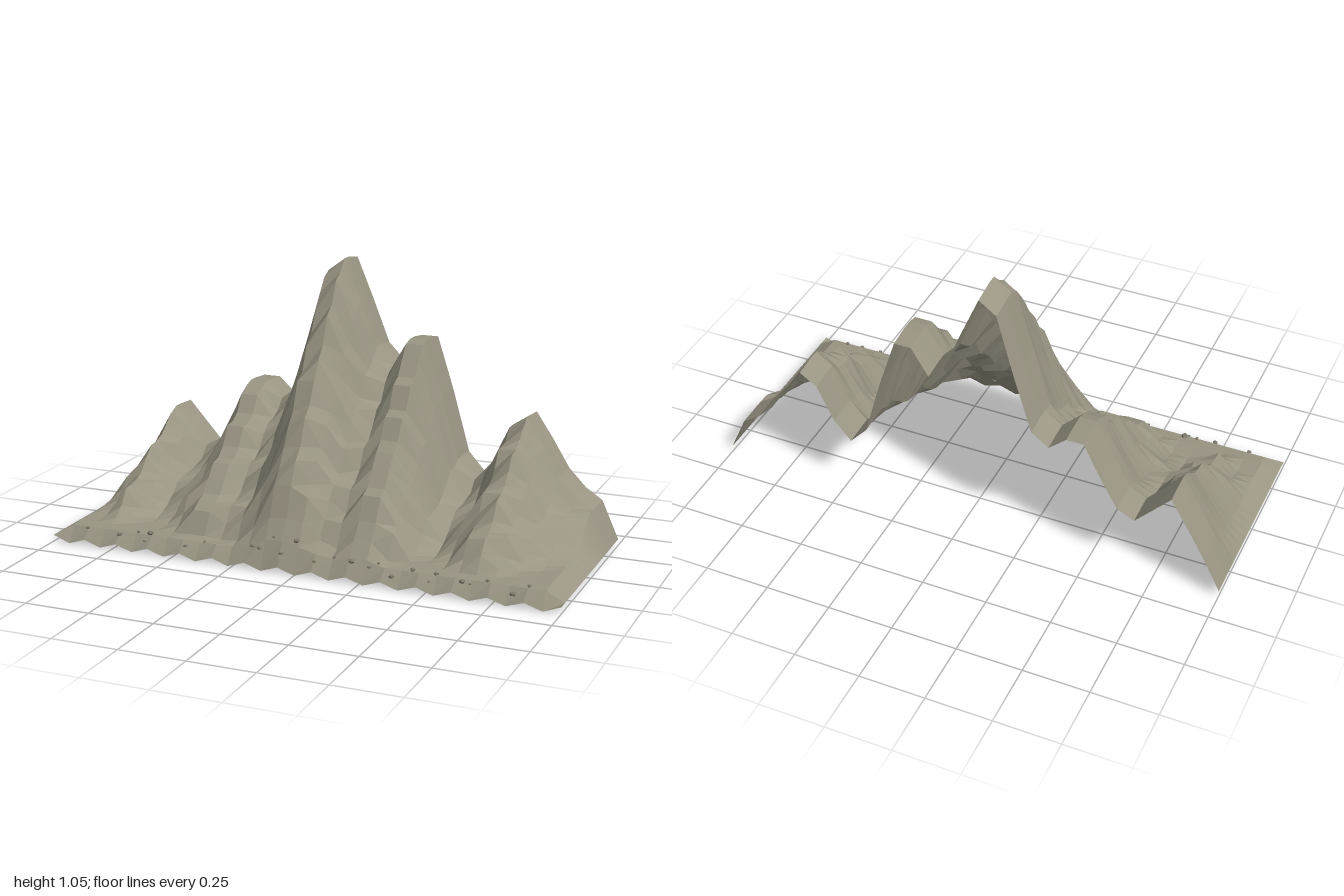
import * as THREE from 'three';

const W = 2, D = 0.776, NX = 30, NZ = 18, STEP = 0.115, BASE = 0.06;

// skyline height of each column along x
const RIDGE = [0.025, 0.16, 0.28, 0.395, 0.32, 0.245, 0.28, 0.40, 0.535, 0.535, 0.475,
  0.525, 0.75, 1.0, 1.05, 0.89, 0.72, 0.65, 0.76, 0.76, 0.55,
  0.31, 0.235, 0.31, 0.455, 0.50, 0.40, 0.29, 0.22, 0.175, 0.025];

// rock ledges: flat treads with steep risers
function terrace(h) {
  const t = Math.max(0, (h - BASE) / STEP), k = Math.floor(t);
  return BASE + STEP * (k + Math.pow(t - k, 3));
}

// height of the grid corner in column i, row j (row 0 is the back)
function heightAt(i, j) {
  const z = -D / 2 + (j * D) / NZ, r = RIDGE[i];
  if (i === 0 || i === NX) return 0.025;
  if (j === NZ) return i % 2 ? 0 : 0.022;
  // crest keeps the skyline, dipping a little at the back
  if (z < -0.23) return r - 0.18 * r * Math.max(0, -z - 0.3);
  // every spur runs down to the foot in proportion to its height
  const h = r * Math.min(1, 0.7 - 1.5 * z - 0.9 * Math.max(0, z - 0.26));
  return j === NZ - 1 ? Math.max(0.062, h) : Math.max(0.066, terrace(h));
}

// surface height at any x, z
function sample(x, z) {
  const u = ((x + W / 2) / W) * NX, v = ((z + D / 2) / D) * NZ;
  const i = Math.floor(u), j = Math.floor(v), a = u - i, b = v - j;
  const top = heightAt(i, j) * (1 - a) + heightAt(i + 1, j) * a;
  const bottom = heightAt(i, j + 1) * (1 - a) + heightAt(i + 1, j + 1) * a;
  return top * (1 - b) + bottom * b;
}

export function createModel() {
  const group = new THREE.Group();
  group.name = 'mountainRange';
  const rock = new THREE.MeshStandardMaterial({
    name: 'warm grey rock', color: 0x999483, flatShading: true, side: THREE.DoubleSide });
  const stone = new THREE.MeshStandardMaterial({
    name: 'dark grey stone', color: 0x7d786b, flatShading: true });

  // mountain face: open sheet raised by the height rule
  const land = new THREE.PlaneGeometry(W, D, NX, NZ).rotateX(-Math.PI / 2);
  const pos = land.attributes.position;
  for (let j = 0; j <= NZ; j++) {
    for (let i = 0; i <= NX; i++) pos.setY(j * (NX + 1) + i, heightAt(i, j));
  }
  land.computeVertexNormals();
  const slope = new THREE.Mesh(land, rock);
  slope.name = 'mountainSlope';
  group.add(slope);

  // loose stones strewn along the foot
  const stones = new THREE.Group();
  stones.name = 'looseStones';
  const xs = [-0.87, -0.73, -0.66, -0.62, -0.61, -0.45, -0.38, -0.18, -0.15, -0.10, -0.06, -0.01,
    0.07, 0.14, 0.21, 0.28, 0.31, 0.37, 0.44, 0.51, 0.53, 0.63, 0.66, 0.72, 0.82, 0.87];
  const pebble = new THREE.DodecahedronGeometry(0.011, 0);
  xs.forEach((x, n) => {
    const z = 0.352 + 0.015 * Math.sin(n * 2.7);
    const mesh = new THREE.Mesh(pebble, stone);
    mesh.name = 'stone' + (n + 1);
    const s = 0.8 + 0.3 * Math.sin(n * 1.9);
    mesh.scale.set(s, s * 0.7, s);
    mesh.rotation.y = n * 1.3;
    mesh.position.set(x, sample(x, z) + 0.005, z);
    stones.add(mesh);
  });
  group.add(stones);
  return group;
}
